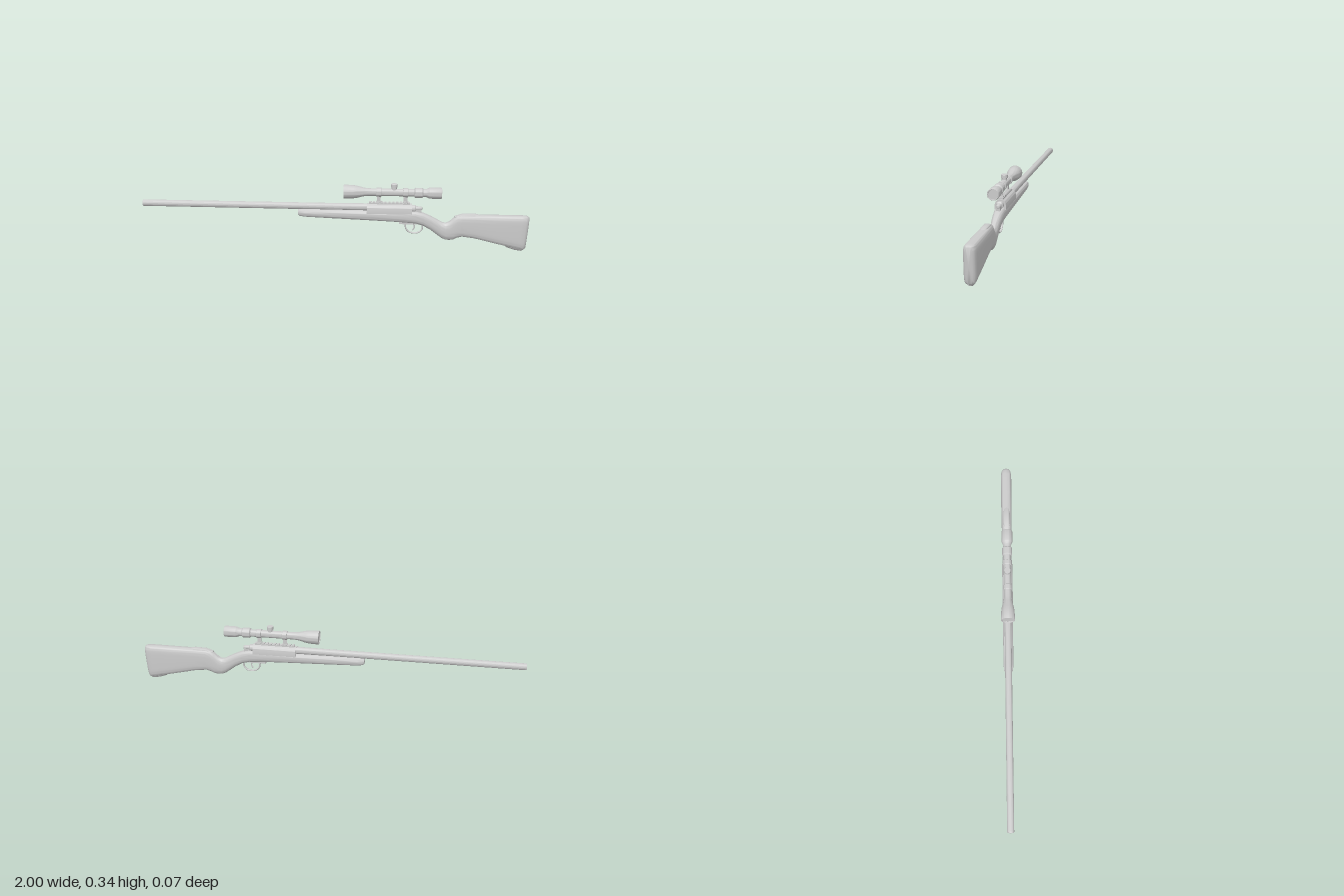
import * as THREE from 'three';
import { toCreasedNormals } from 'three/addons/utils/BufferGeometryUtils.js';

export function createModel() {
  const model = new THREE.Group();
  const mat = new THREE.MeshStandardMaterial({ color: 0xcccccc, side: THREE.DoubleSide });

  function add(name, geo, x = 0, y = 0, z = 0) {
    const mesh = new THREE.Mesh(geo, mat);
    mesh.name = name;
    mesh.position.set(x, y, z);
    model.add(mesh);
    return mesh;
  }

  // Turned part along x: profile of [x, radius]
  function turned(profile, segments = 40) {
    const geo = new THREE.LatheGeometry(profile.map(([x, r]) => new THREE.Vector2(r, x)), segments);
    geo.rotateZ(-Math.PI / 2);
    return toCreasedNormals(geo, 0.5);
  }

  // Superellipse loft along x: sections of [x, top, bottom, halfWidth, power, slant]
  function loft(sections, n = 40) {
    const pos = [], idx = [];
    const soft = (v, p) => Math.sign(v) * Math.pow(Math.abs(v), 2 / p);
    for (const [x, top, bottom, w, p, slant = 0] of sections) {
      for (let j = 0; j < n; j++) {
        const a = (j / n) * Math.PI * 2;
        const y = (top + bottom) / 2 + ((top - bottom) / 2) * soft(Math.cos(a), p);
        pos.push(x - slant * (top - y), y, w * soft(Math.sin(a), p));
      }
    }
    const last = sections.length - 1;
    for (let i = 0; i < last; i++) {
      for (let j = 0; j < n; j++) {
        const k = (j + 1) % n, a = i * n + j, b = i * n + k;
        idx.push(a, b, b + n, a, b + n, a + n);
      }
    }
    for (const i of [0, last]) {
      const [x, top, bottom, , , slant = 0] = sections[i];
      const c = pos.length / 3;
      pos.push(x - (slant * (top - bottom)) / 2, (top + bottom) / 2, 0);
      for (let j = 0; j < n; j++) {
        const a = i * n + j, b = i * n + ((j + 1) % n);
        if (i === 0) idx.push(c, b, a);
        else idx.push(c, a, b);
      }
    }
    const geo = new THREE.BufferGeometry();
    geo.setAttribute('position', new THREE.Float32BufferAttribute(pos, 3));
    geo.setIndex(idx);
    return toCreasedNormals(geo, 0.8);
  }

  // Stock: fore-end, wrist, grip and butt
  add('stock', loft([
    [-0.186, 0.2, 0.174, 0.019, 3],
    [-0.178, 0.204, 0.167, 0.023, 3],
    [-0.15, 0.205, 0.163, 0.025, 3],
    [0.0, 0.205, 0.157, 0.026, 3],
    [0.2, 0.205, 0.15, 0.027, 3],
    [0.36, 0.205, 0.143, 0.027, 3],
    [0.42, 0.203, 0.138, 0.026, 3],
    [0.46, 0.194, 0.126, 0.024, 2.6],
    [0.5, 0.177, 0.103, 0.022, 2.4],
    [0.53, 0.161, 0.08, 0.021, 2.3],
    [0.555, 0.147, 0.062, 0.021, 2.3],
    [0.575, 0.143, 0.053, 0.022, 2.4],
    [0.595, 0.153, 0.052, 0.023, 2.5],
    [0.615, 0.171, 0.055, 0.025, 2.8],
    [0.635, 0.184, 0.066, 0.026, 3.2],
    [0.66, 0.188, 0.073, 0.027, 3.6],
    [0.72, 0.188, 0.066, 0.028, 4],
    [0.85, 0.188, 0.036, 0.029, 4.5],
    [0.96, 0.188, 0.014, 0.029, 5, 0.04],
    [0.983, 0.187, 0.01, 0.027, 5, 0.07],
    [0.993, 0.184, 0.012, 0.023, 4, 0.08],
    [0.998, 0.178, 0.018, 0.015, 3, 0.08],
  ]));
  // Comb on top of the butt and pad under its toe
  add('combRidge', loft([
    [0.62, 0.18, 0.17, 0.012, 2.5],
    [0.66, 0.193, 0.17, 0.018, 2.5],
    [0.72, 0.194, 0.17, 0.018, 2.5],
    [0.75, 0.188, 0.17, 0.014, 2.5],
  ], 24));
  add('toePad', loft([
    [0.86, 0.07, 0.04, 0.012, 2.2],
    [0.89, 0.07, 0.019, 0.02, 2.2],
    [0.93, 0.06, 0.006, 0.022, 2.2],
    [0.965, 0.05, 0.001, 0.02, 2.2],
    [0.978, 0.04, 0.008, 0.014, 2.2],
  ], 24));

  // Barrel with a bored muzzle
  add('barrel', turned([
    [-0.95, 0], [-0.95, 0.008], [-0.998, 0.008], [-1, 0.01], [-1, 0.016],
    [-0.997, 0.017], [0.0, 0.0175], [0.18, 0.019],
  ], 32), 0, 0.219, 0);

  // Receiver: round-topped body
  const body = new THREE.Shape();
  body.moveTo(0.027, 0.19);
  body.lineTo(0.027, 0.213);
  body.absarc(0, 0.213, 0.027, 0, Math.PI, false);
  body.lineTo(-0.027, 0.19);
  const receiver = new THREE.ExtrudeGeometry(body, { depth: 0.23, bevelEnabled: false, curveSegments: 24 });
  receiver.rotateY(Math.PI / 2);
  add('receiver', toCreasedNormals(receiver, 0.5), 0.17, 0, 0);

  // Accessory rail with cross slots
  add('railBase', new THREE.BoxGeometry(0.21, 0.008, 0.022), 0.285, 0.239, 0);
  for (let i = 0; i < 11; i++) {
    add('railTooth', new THREE.BoxGeometry(0.011, 0.006, 0.022), 0.186 + i * 0.0198, 0.245, 0);
  }

  // Bolt and rear tang
  add('bolt', turned([[0.39, 0], [0.39, 0.018], [0.418, 0.018], [0.422, 0.012], [0.445, 0.011], [0.453, 0.007], [0.455, 0]], 24), 0, 0.216, 0);
  add('tang', new THREE.BoxGeometry(0.05, 0.02, 0.02), 0.425, 0.203, 0);

  // Trigger guard loop and curved trigger
  const guardPath = new THREE.CatmullRomCurve3([
    [0.35, 0.142], [0.366, 0.132], [0.372, 0.108], [0.388, 0.091], [0.415, 0.085],
    [0.441, 0.091], [0.455, 0.108], [0.456, 0.132],
  ].map(([x, y]) => new THREE.Vector3(x, y, 0)));
  const guard = new THREE.TubeGeometry(guardPath, 48, 0.0038, 10, false);
  guard.scale(1, 1, 2);
  add('triggerGuard', guard);
  add('guardPlate', new THREE.BoxGeometry(0.13, 0.012, 0.02), 0.4, 0.139, 0);
  const triggerPath = new THREE.CatmullRomCurve3([
    new THREE.Vector3(0.408, 0.14, 0), new THREE.Vector3(0.415, 0.119, 0), new THREE.Vector3(0.406, 0.1, 0),
  ]);
  add('trigger', new THREE.TubeGeometry(triggerPath, 16, 0.0035, 8, false));

  // Telescopic sight
  const sightY = 0.299;
  add('scope', turned([
    [0.054, 0], [0.054, 0.03], [0.05, 0.032], [0.05, 0.035], [0.053, 0.036], [0.1, 0.034],
    [0.12, 0.031], [0.155, 0.022], [0.175, 0.0195], [0.2, 0.019], [0.41, 0.019], [0.415, 0.026],
    [0.452, 0.026], [0.457, 0.021], [0.472, 0.021], [0.485, 0.027], [0.49, 0.0285], [0.546, 0.029],
    [0.551, 0.027], [0.551, 0.024], [0.547, 0.023], [0.547, 0],
  ]), 0, sightY, 0);
  for (const x of [0.23, 0.367]) {
    add('scopeRing', turned([
      [-0.013, 0.018], [-0.013, 0.022], [-0.011, 0.0235], [0.011, 0.0235], [0.013, 0.022], [0.013, 0.018],
    ]), x, sightY, 0);
    add('scopePost', new THREE.BoxGeometry(0.02, 0.04, 0.005), x, 0.26, 0);
    add('postFoot', new THREE.BoxGeometry(0.026, 0.005, 0.018), x, 0.249, 0);
  }
  // Elevation turret
  const turret = new THREE.LatheGeometry([
    [0.013, 0], [0.013, 0.026], [0.017, 0.028], [0.017, 0.043], [0.0155, 0.045], [0, 0.045],
  ].map(([r, y]) => new THREE.Vector2(r, y)), 28);
  add('turret', toCreasedNormals(turret, 0.5), 0.308, sightY, 0);
  return model;
}
